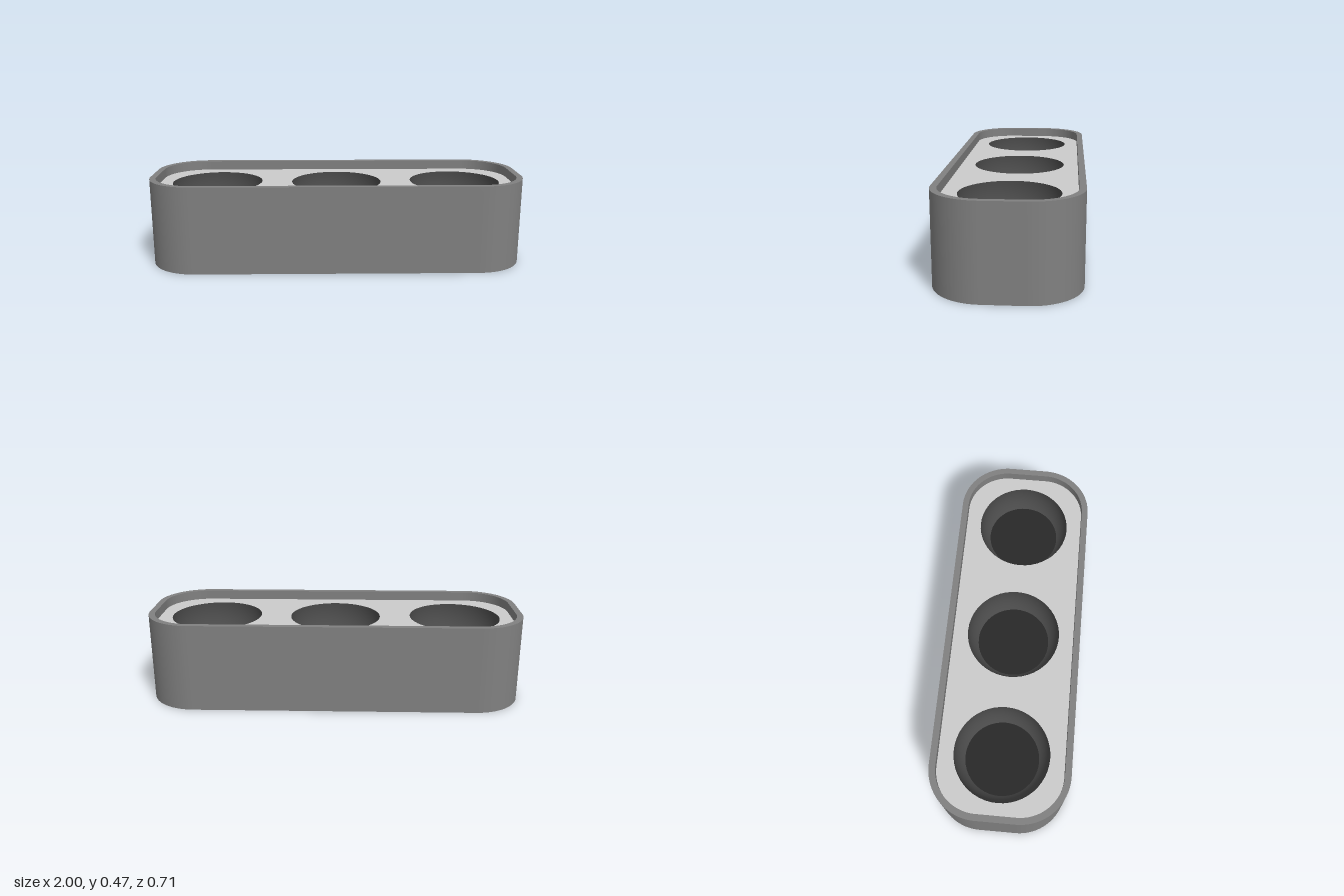
import * as THREE from 'three';
import { toCreasedNormals } from 'three/addons/utils/BufferGeometryUtils.js';

const HEIGHT = 0.465, PLATE_Y = 0.415, FLOOR_Y = 0.29;
const CUP_X = [-0.655, 0, 0.655], CUP_R = 0.245, FLOOR_R = 0.193;

// Rounded rectangle given by its half sizes and corner radius
function outline(w, d, r, Type = THREE.Shape) {
  const s = new Type();
  s.absarc(w - r, d - r, r, 0, Math.PI / 2);
  s.absarc(r - w, d - r, r, Math.PI / 2, Math.PI);
  s.absarc(r - w, r - d, r, Math.PI, Math.PI * 1.5);
  s.absarc(w - r, r - d, r, Math.PI * 1.5, Math.PI * 2);
  s.closePath();
  return s;
}

// Extrude a ground-plan shape upward from y0 to y1
function slab(shape, y0, y1) {
  const g = new THREE.ExtrudeGeometry(shape, { depth: y1 - y0, bevelEnabled: false, curveSegments: 24 });
  g.rotateX(-Math.PI / 2).translate(0, y0, 0);
  return toCreasedNormals(g, 0.6);
}

export function createModel() {
  const model = new THREE.Group();
  const paint = (color) => new THREE.MeshStandardMaterial({ color });
  const bodyMat = paint(0x808080), plateMat = paint(0xcccccc);
  const cupMat = paint(0x484848), floorMat = paint(0x282828);
  const add = (name, geometry, material, parent = model) => {
    const mesh = new THREE.Mesh(geometry, material);
    mesh.name = name;
    parent.add(mesh);
    return mesh;
  };

  // Outer wall, standing a little above the plate
  const wall = outline(1, 0.355, 0.255);
  wall.holes.push(outline(0.967, 0.322, 0.222, THREE.Path));
  add('outerWall', slab(wall, 0, HEIGHT), bodyMat);
  add('base', slab(outline(0.967, 0.322, 0.222), 0, 0.05), bodyMat);

  // Recessed top plate with three round openings
  const plate = outline(0.967, 0.322, 0.222);
  for (const x of CUP_X) {
    const hole = new THREE.Path();
    hole.absarc(x, 0, CUP_R, 0, Math.PI * 2);
    plate.holes.push(hole);
  }
  add('topPlate', slab(plate, PLATE_Y - 0.02, PLATE_Y), plateMat);

  // Cups: a wall curving inward to a flat dark floor
  const curve = new THREE.CubicBezierCurve(
    new THREE.Vector2(FLOOR_R, FLOOR_Y), new THREE.Vector2(0.22, FLOOR_Y + 0.02),
    new THREE.Vector2(CUP_R, FLOOR_Y + 0.06), new THREE.Vector2(CUP_R, PLATE_Y));
  const cupGeo = new THREE.LatheGeometry(curve.getPoints(12), 48);
  const floorGeo = new THREE.CircleGeometry(FLOOR_R, 48).rotateX(-Math.PI / 2);
  cupMat.side = THREE.DoubleSide;
  for (const x of CUP_X) {
    const cup = new THREE.Group();
    cup.name = 'cup';
    cup.position.x = x;
    add('cupWall', cupGeo, cupMat, cup);
    add('cupFloor', floorGeo, floorMat, cup).position.y = FLOOR_Y;
    model.add(cup);
  }
  return model;
}
